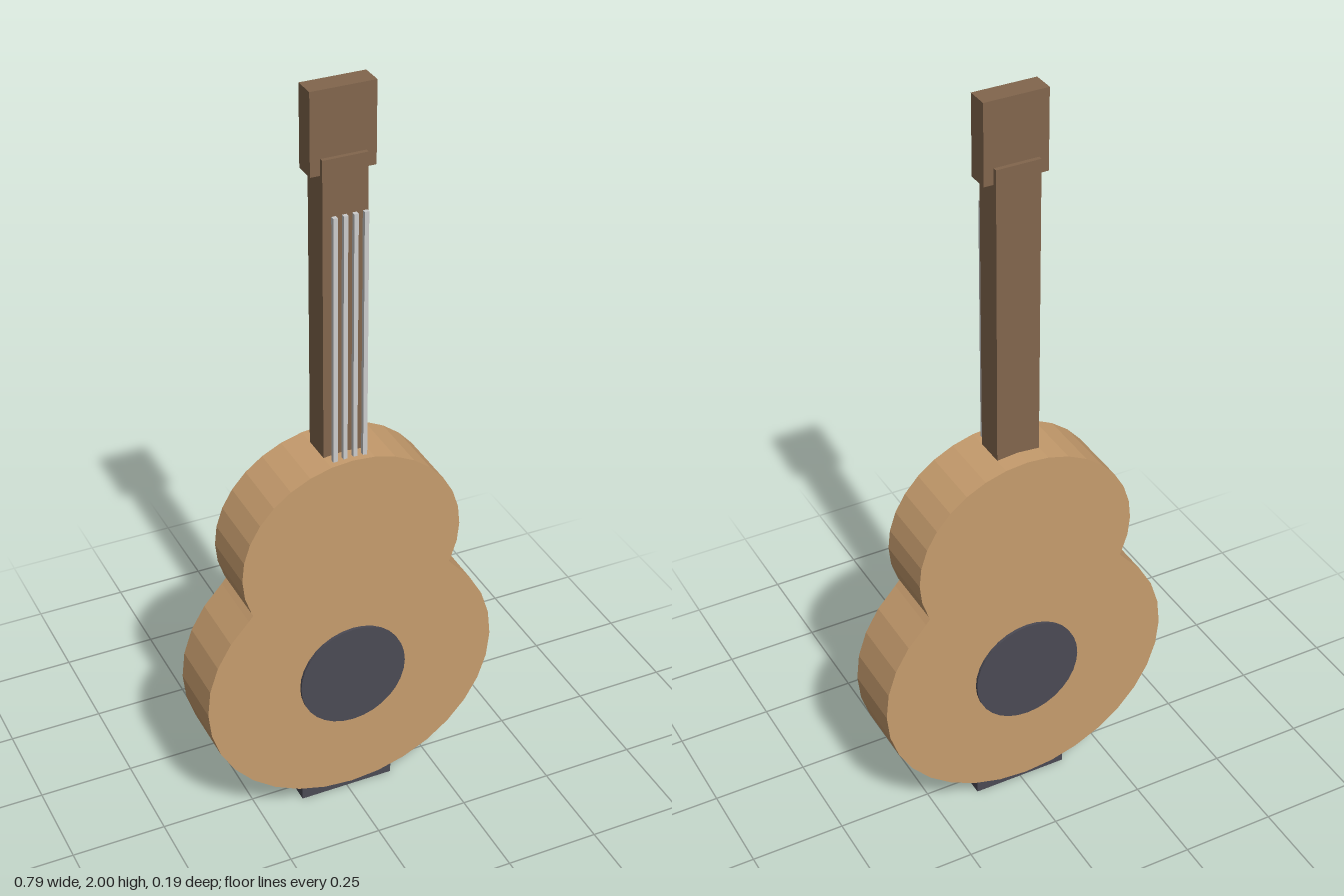
import * as THREE from 'three';

const mat = (color) => new THREE.MeshStandardMaterial({ color, flatShading: true });
const wood = mat(0xc69c6d), darkWood = mat(0x82664d), dark = mat(0x4b4a54), steel = mat(0xcccccc);

function add(parent, name, geometry, material, x = 0, y = 0, z = 0) {
  const mesh = new THREE.Mesh(geometry, material);
  mesh.name = name;
  mesh.position.set(x, y, z);
  parent.add(mesh);
  return mesh;
}

// box spanning y0..y1, centred on x and z
function post(parent, name, material, w, d, y0, y1, x = 0, z = 0) {
  return add(parent, name, new THREE.BoxGeometry(w, y1 - y0, d), material, x, (y0 + y1) / 2, z);
}

// figure-eight outline: two 32-sided bouts that meet at the waist
function bodyShape() {
  const waist = new THREE.Vector2(0.269, 0.677);
  const bout = (cy, rx, ry, keep, start) => {
    const pts = [];
    for (let i = 0; i < 32; i++) {
      const a = start + (i / 32) * Math.PI * 2;
      const p = new THREE.Vector2(rx * Math.cos(a), cy + ry * Math.sin(a));
      if (keep(p.y)) pts.push(p);
    }
    return pts;
  };
  const upper = bout(0.787, 0.295, 0.27, (y) => y > waist.y + 0.004, -Math.PI / 2);
  const lower = bout(0.405, 0.397, 0.364, (y) => y < waist.y - 0.004, Math.PI / 2);
  return new THREE.Shape([waist, ...upper, new THREE.Vector2(-waist.x, waist.y), ...lower]);
}

export function createModel() {
  const guitar = new THREE.Group();
  guitar.name = 'guitar';

  // body
  const depth = 0.173;
  const bodyGeo = new THREE.ExtrudeGeometry(bodyShape(), { depth, bevelEnabled: false });
  add(guitar, 'body', bodyGeo, wood, 0, 0, -depth / 2);

  // dark disc running through the body, just proud of both faces
  const disc = new THREE.CylinderGeometry(0.146, 0.146, 0.188, 32).rotateX(Math.PI / 2);
  add(guitar, 'soundHole', disc, dark, 0, 0.405, 0);

  // neck, headstock and foot
  post(guitar, 'neck', darkWood, 0.114, 0.079, 0.98, 1.836);
  post(guitar, 'headstock', darkWood, 0.164, 0.057, 1.795, 2);
  post(guitar, 'foot', dark, 0.258, 0.11, 0, 0.06);

  // four strings in front of the neck
  const strings = new THREE.Group();
  strings.name = 'strings';
  for (let i = 0; i < 4; i++) {
    post(strings, 'string', steel, 0.011, 0.011, 0.98, 1.705, (i - 1.5) * 0.026, 0.065);
  }
  guitar.add(strings);

  return guitar;
}
